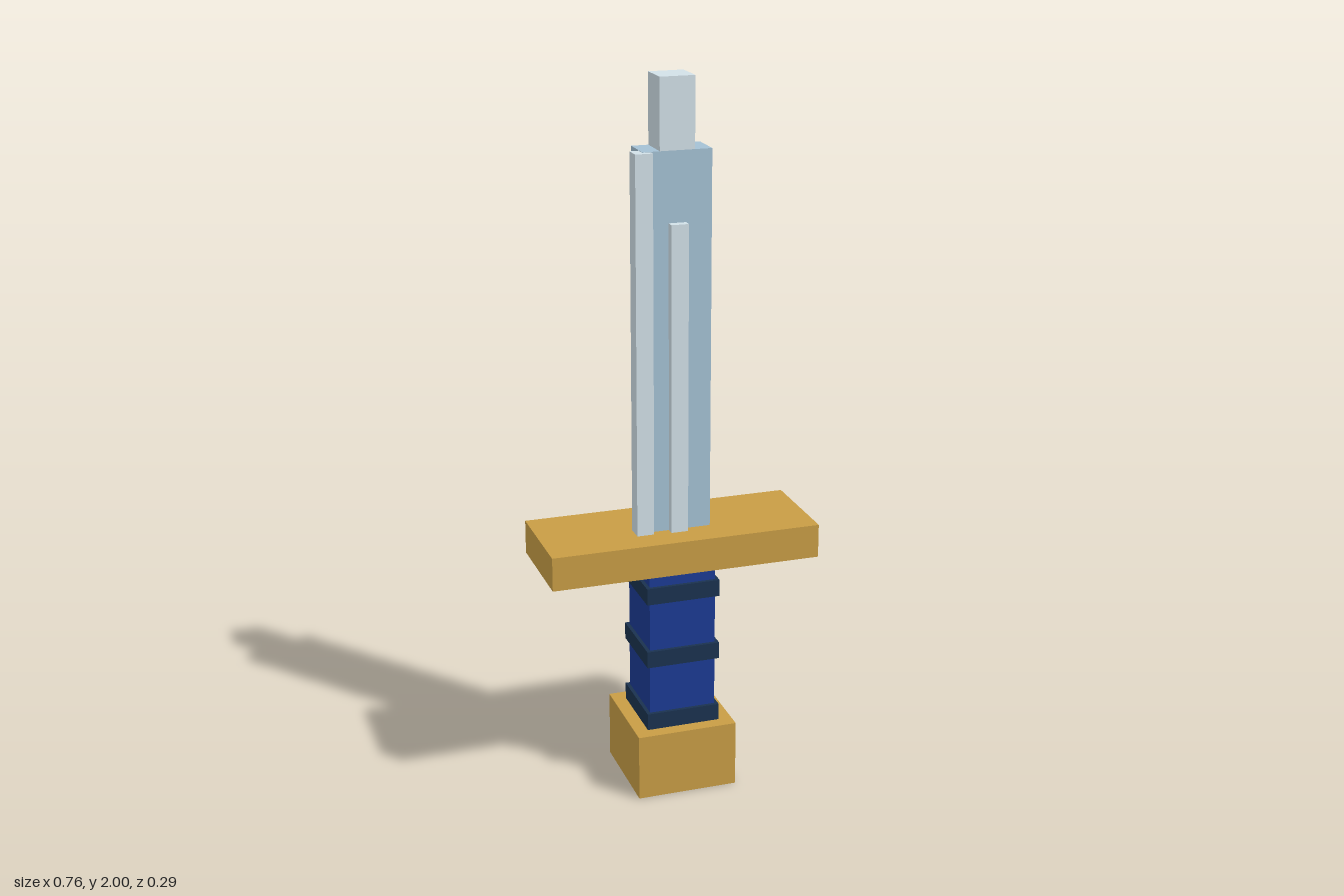
import * as THREE from 'three';

const mat = (name, color) => {
  const m = new THREE.MeshStandardMaterial({ color });
  m.name = name;
  return m;
};

export function createModel() {
  const gold = mat('gold', 0xc89d45);
  const blue = mat('blue grip', 0x1b3a93);
  const dark = mat('dark band', 0x1a324f);
  const steel = mat('steel', 0xa4c1d4);
  const bright = mat('bright steel', 0xd2e1e8);

  const sword = new THREE.Group();
  sword.name = 'sword';

  // Box given by its width, depth, bottom, top and centre in x and z
  const block = (name, material, w, d, y0, y1, x = 0, z = 0) => {
    const mesh = new THREE.Mesh(new THREE.BoxGeometry(w, y1 - y0, d), material);
    mesh.name = name;
    mesh.position.set(x, (y0 + y1) / 2, z);
    sword.add(mesh);
  };

  // Handle
  block('pommel', gold, 0.286, 0.286, 0, 0.19);
  block('grip', blue, 0.19, 0.19, 0.19, 0.7);
  [0.19, 0.381, 0.571].forEach((y, i) =>
    block(`gripBand${i + 1}`, dark, 0.21, 0.21, y, y + 0.048));
  block('crossguard', gold, 0.762, 0.286, 0.667, 0.762);

  // Blade
  block('blade', steel, 0.19, 0.096, 0.75, 1.81);
  block('bladeTip', bright, 0.096, 0.096, 1.8, 2);
  block('bladeEdge', bright, 0.048, 0.048, 0.75, 1.809, -0.096, 0.042);
  block('bladeRidge', bright, 0.048, 0.024, 0.75, 1.62, 0, 0.059);

  return sword;
}
